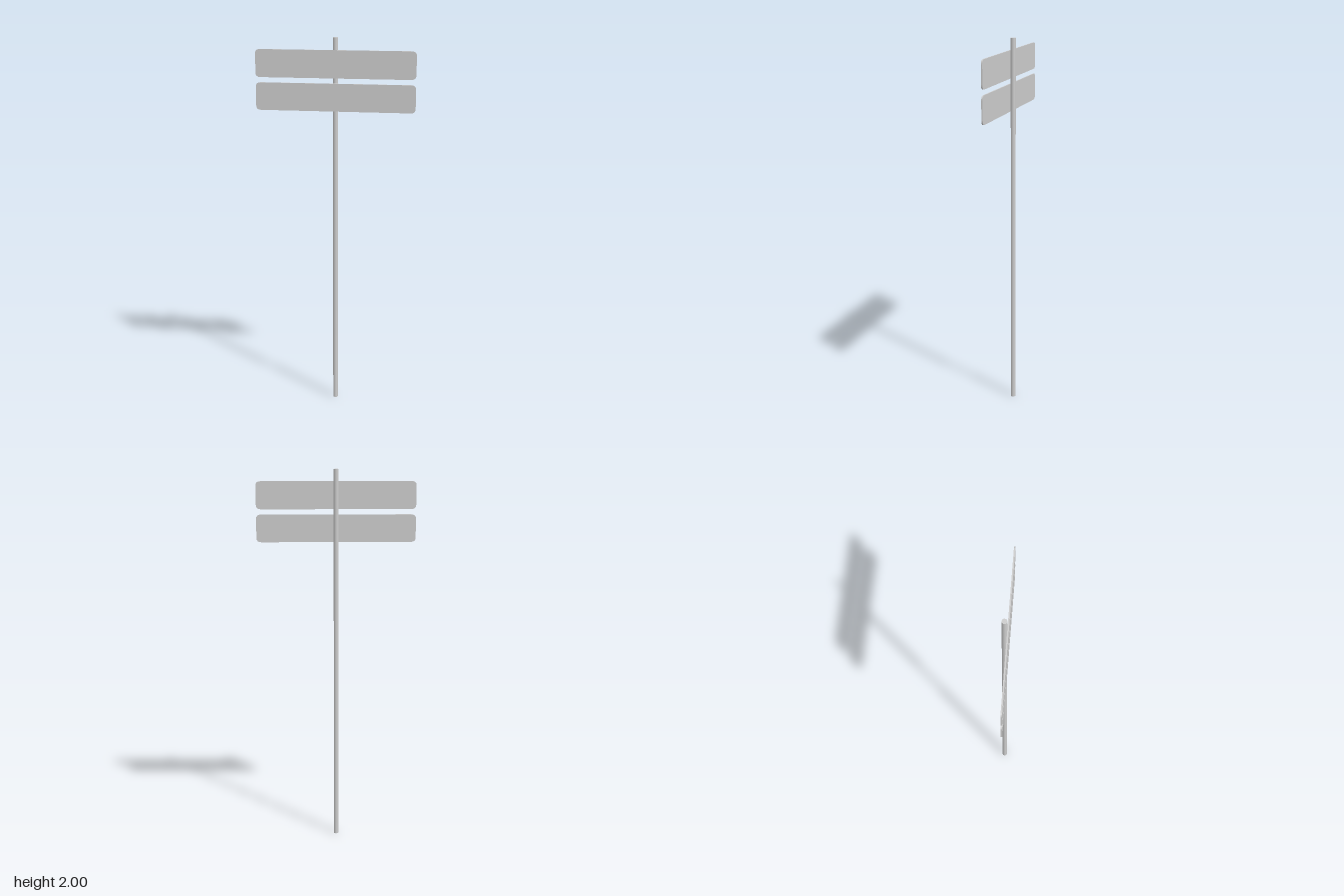
import * as THREE from 'three';

const material = new THREE.MeshStandardMaterial({ color: 0xcccccc });

// Thin sign plate with rounded corners, centred on its own origin
function plateGeometry(width, height, depth, rx, ry) {
  const w = width / 2, h = height / 2;
  const shape = new THREE.Shape();
  shape.moveTo(-w + rx, -h);
  shape.lineTo(w - rx, -h);
  shape.quadraticCurveTo(w, -h, w, -h + ry);
  shape.lineTo(w, h - ry);
  shape.quadraticCurveTo(w, h, w - rx, h);
  shape.lineTo(-w + rx, h);
  shape.quadraticCurveTo(-w, h, -w, h - ry);
  shape.lineTo(-w, -h + ry);
  shape.quadraticCurveTo(-w, -h, -w + rx, -h);
  const geometry = new THREE.ExtrudeGeometry(shape, { depth, bevelEnabled: false, curveSegments: 4 });
  return geometry.translate(0, 0, -depth / 2);
}

export function createModel() {
  const group = new THREE.Group();
  group.name = 'signpost';

  // Round pole, slightly behind the plates
  const pole = new THREE.Mesh(new THREE.CylinderGeometry(0.013, 0.013, 2, 20), material);
  pole.name = 'pole';
  pole.position.set(0, 1, -0.004);
  group.add(pole);

  // Two identical plates, one above the other
  const geometry = plateGeometry(0.83, 0.143, 0.007, 0.025, 0.022);
  for (const [name, y] of [['upperSign', 1.866], ['lowerSign', 1.696]]) {
    const sign = new THREE.Mesh(geometry, material);
    sign.name = name;
    sign.position.set(0, y, 0.0128);
    group.add(sign);
  }
  return group;
}
